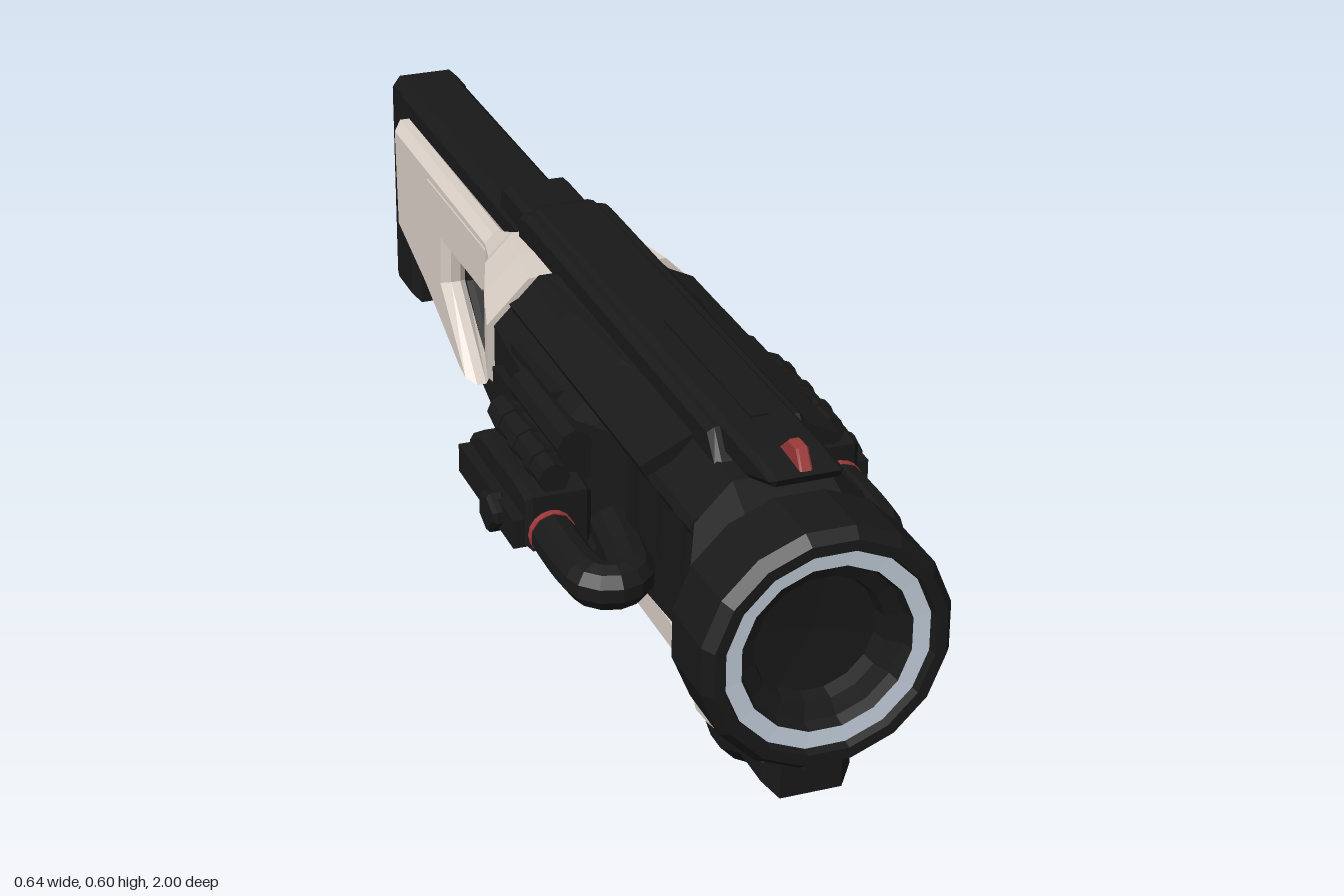
import * as THREE from 'three';

const mat = (name, color, double) => {
  const m = new THREE.MeshStandardMaterial({ color, flatShading: true });
  m.name = name;
  if (double) m.side = THREE.DoubleSide;
  return m;
};

export function createModel() {
  const group = new THREE.Group();
  const black = mat('matte black', 0x191919);
  const bone = mat('bone white', 0xd8cec5);
  const glow = mat('pale blue ring', 0xc4d0dc, true);
  const red = mat('red', 0x9c3838);
  const AXIS = 0.325; // barrel axis height

  const add = (name, geo, m, x = 0, y = 0, z = 0) => {
    const mesh = new THREE.Mesh(geo, m);
    mesh.name = name;
    mesh.position.set(x, y, z);
    group.add(mesh);
    return mesh;
  };
  const box = (name, m, w, h, d, x, y, z) => add(name, new THREE.BoxGeometry(w, h, d), m, x, y, z);
  const both = (fn) => [-1, 1].forEach(fn);

  // Side profile of [z, y] points, extruded across x with a chamfer
  const slab = (name, m, pts, width, x = 0, holes = [], bevel = 0.01) => {
    const shape = new THREE.Shape(pts.map((p) => new THREE.Vector2(...p)));
    holes.forEach((h) => shape.holes.push(new THREE.Path(h.map((p) => new THREE.Vector2(...p)))));
    const geo = new THREE.ExtrudeGeometry(shape, {
      depth: width - 2 * bevel, bevelEnabled: bevel > 0, bevelThickness: bevel,
      bevelSize: bevel, bevelOffset: -bevel, bevelSegments: 1,
    });
    geo.translate(0, 0, bevel - width / 2);
    geo.rotateY(-Math.PI / 2);
    return add(name, geo, m, x);
  };

  // Chamfered cross-sections [z, halfWidth, bottom, top, chamfer], front to back
  const loft = (name, m, sections) => {
    const rings = sections.map(([z, w, b, t, c]) => [
      [w, b + c], [w, t - c], [w - c, t], [c - w, t], [-w, t - c], [-w, b + c], [c - w, b], [w - c, b],
    ].map(([x, y]) => [x, y, z]));
    const pos = [];
    const tri = (...v) => v.forEach((p) => pos.push(...p));
    for (let i = 0; i < rings.length - 1; i++) {
      for (let j = 0; j < 8; j++) {
        const k = (j + 1) % 8, p = rings[i], q = rings[i + 1];
        tri(p[j], q[j], q[k]);
        tri(p[j], q[k], p[k]);
      }
    }
    const f = rings[0], e = rings[rings.length - 1];
    for (let j = 1; j < 7; j++) {
      tri(f[0], f[j], f[j + 1]);
      tri(e[0], e[j + 1], e[j]);
    }
    const geo = new THREE.BufferGeometry();
    geo.setAttribute('position', new THREE.Float32BufferAttribute(pos, 3));
    geo.computeVertexNormals();
    return add(name, geo, m);
  };

  // Revolved profile of [radius, z] points around the barrel axis
  const lathe = (name, m, pts) => {
    const geo = new THREE.LatheGeometry(pts.map((p) => new THREE.Vector2(...p)), 16);
    geo.rotateY(Math.PI / 16);
    geo.rotateX(Math.PI / 2);
    return add(name, geo, m, 0, AXIS);
  };
  const rod = (name, m, r, len, x, y, z, sides = 10) => {
    const geo = new THREE.CylinderGeometry(r, r, len, sides);
    geo.rotateX(Math.PI / 2);
    return add(name, geo, m, x, y, z);
  };

  // Muzzle collar, glowing ring and shallow bore
  lathe('muzzleCollar', black, [[0.135, 0.78], [0.19, 0.85], [0.202, 0.865], [0.202, 0.98], [0.188, 1], [0.17, 1], [0.166, 0.985]]);
  lathe('muzzleRing', glow, [[0.167, 0.986], [0.138, 0.984]]);
  lathe('bore', black, [[0.138, 0.985], [0.132, 0.965], [0.106, 0.955], [0.1, 0.93], [0, 0.925]]);

  // Main body
  loft('barrelShroud', black, [
    [0.86, 0.17, 0.17, 0.49, 0.09], [0.79, 0.135, 0.19, 0.52, 0.06],
    [0.5, 0.135, 0.17, 0.525, 0.06], [0.42, 0.16, 0.16, 0.525, 0.08],
  ]);
  loft('receiver', black, [
    [0.46, 0.14, 0.17, 0.525, 0.07], [0.36, 0.18, 0.16, 0.525, 0.09], [0.16, 0.195, 0.18, 0.525, 0.09],
    [0, 0.185, 0.24, 0.52, 0.08], [-0.03, 0.16, 0.27, 0.5, 0.07],
  ]);
  slab('receiverUnderside', black, [[0.2, 0.24], [0.2, 0.12], [0.1, 0.1], [-0.1, 0.13], [-0.16, 0.3], [0, 0.3]], 0.13);

  // Top rail with front sight
  slab('topRail', black, [[0.9, 0.57], [0.89, 0.555], [0.8, 0.525], [-0.18, 0.5], [-0.19, 0.56], [-0.16, 0.57], [0.82, 0.576]], 0.12);
  slab('railBase', black, [[0.7, 0.565], [0.74, 0.51], [-0.19, 0.48], [-0.19, 0.55], [-0.15, 0.565]], 0.158);
  box('railRidge', black, 0.03, 0.012, 0.36, 0, 0.573, 0.53);
  slab('rearSight', black, [[-0.17, 0.49], [-0.35, 0.49], [-0.345, 0.535], [-0.32, 0.55], [-0.17, 0.55]], 0.12);
  slab('frontSight', red, [[0.89, 0.568], [0.8, 0.568], [0.84, 0.602], [0.87, 0.602]], 0.02, 0, [], 0.003);

  both((s) => {
    // Sloped shoulder plates beside the rail
    const plate = box('shoulderPlate', black, 0.1, 0.022, 0.62, s * 0.115, 0.497, 0.33);
    plate.rotation.z = -s * 0.45;

    // Side pods and mounting arms
    slab('sidePod', black, [[0.46, 0.265], [0.46, 0.36], [0.4, 0.368], [0.22, 0.365], [0.16, 0.33], [0.16, 0.28], [0.2, 0.26]], 0.11, s * 0.23);
    slab('podCap', black, [[0.36, 0.255], [0.4, 0.29], [0.4, 0.31], [0.36, 0.325], [0.32, 0.31], [0.32, 0.27]], 0.03, s * 0.305, [], 0.006);
    box('podRib', black, 0.035, 0.05, 0.28, s * 0.287, 0.295, 0.31);
    rod('upperTube', black, 0.026, 0.26, s * 0.235, 0.382, 0.32, 8);
    rod('middleTube', black, 0.03, 0.24, s * 0.19, 0.415, 0.3, 8);
    rod('lowerTube', black, 0.03, 0.3, s * 0.15, 0.255, 0.33, 8);
    box('sideHousing', black, 0.07, 0.08, 0.2, s * 0.155, 0.415, 0.2);
    box('tubeBracket', black, 0.08, 0.05, 0.2, s * 0.195, 0.378, 0.31);
    box('sideBlock', black, 0.04, 0.1, 0.12, s * 0.185, 0.34, 0.11);
    for (let i = 0; i < 3; i++) {
      rod('tubeClamp', black, 0.03, 0.025, s * 0.235, 0.382, 0.24 + i * 0.075, 8);
      box('shroudRib', black, 0.016, 0.12, 0.035, s * 0.135, 0.39, 0.54 + i * 0.1);
    }
    rod('shroudTube', black, 0.022, 0.34, s * 0.12, 0.45, 0.62, 8);

    // Looping coolant pipe with a red collar
    const path = new THREE.CatmullRomCurve3([
      [0.247, 0.44], [0.247, 0.6], [0.238, 0.645], [0.21, 0.66], [0.18, 0.645], [0.165, 0.59], [0.15, 0.48],
    ].map(([x, z]) => new THREE.Vector3(s * x, 0.298, z)));
    add('coolantPipe', new THREE.TubeGeometry(path, 24, 0.037, 10), black);
    rod('pipeCollar', red, 0.038, 0.012, s * 0.247, 0.298, 0.47, 16);

    // White strip along the handguard
    slab('handguardStrip', bone, [
      [0.85, 0.175], [0.79, 0.19], [0.7, 0.175], [0.62, 0.2], [0.14, 0.2], [0.09, 0.16], [0.09, 0.11],
      [0.17, 0.105], [0.22, 0.14], [0.69, 0.14], [0.73, 0.09], [0.79, 0.095],
    ], 0.045, s * 0.083, [], 0.008);

    // White stock panel with cut-out edge
    slab('stockPanel', bone, [
      [-0.3, 0.45], [-0.3, 0.35], [-0.36, 0.318], [-0.595, 0.318], [-0.6, 0.245], [-0.45, 0.1],
      [-0.51, 0.1], [-0.72, 0.185], [-0.9, 0.24], [-0.91, 0.455],
    ], 0.05, s * 0.065, [], 0.016);
    box('stockRidge', bone, 0.012, 0.05, 0.36, s * 0.087, 0.4, -0.5);
  });

  // Handguard, lower rail and foregrip
  slab('handguard', black, [[0.84, 0.22], [0.84, 0.12], [0.16, 0.12], [0.16, 0.22]], 0.14);
  slab('lowerRail', black, [[0.64, 0.13], [0.64, 0.075], [0.25, 0.062], [0.18, 0.062], [0.14, 0.1], [0.14, 0.13]], 0.1);
  slab('foregrip', black, [
    [0.94, 0.12], [0.94, 0.05], [0.84, 0.05], [0.76, 0.012], [0.71, 0.012], [0.66, 0.04], [0.62, 0.09], [0.62, 0.16], [0.84, 0.16],
  ], 0.145, 0, [], 0.022);
  rod('foregripBolt', black, 0.016, 0.02, 0, 0.095, 0.94, 12);

  // White shoulder shell behind the receiver
  loft('shoulderShell', bone, [
    [0, 0.198, 0.27, 0.517, 0.075], [-0.1, 0.17, 0.27, 0.517, 0.065],
    [-0.2, 0.135, 0.285, 0.512, 0.05], [-0.25, 0.113, 0.315, 0.49, 0.04], [-0.34, 0.09, 0.335, 0.455, 0.02],
  ]);

  // Grip and stock core with trigger and thumb openings
  slab('gripAndStock', black, [
    [-0.05, 0.36], [-0.06, 0.24], [-0.12, 0.12], [-0.18, 0.035], [-0.28, 0.02], [-0.43, 0.025], [-0.58, 0.08],
    [-0.63, 0.115], [-0.9, 0.115], [-0.9, 0.46], [-0.1, 0.46],
  ], 0.085, 0, [
    [[-0.175, 0.12], [-0.165, 0.18], [-0.2, 0.225], [-0.28, 0.225], [-0.335, 0.17], [-0.32, 0.1], [-0.26, 0.07], [-0.215, 0.08]],
    [[-0.36, 0.308], [-0.595, 0.312], [-0.595, 0.245], [-0.46, 0.105], [-0.42, 0.105], [-0.435, 0.17], [-0.41, 0.24]],
  ], 0.01);
  slab('gripPad', black, [[-0.34, 0.26], [-0.345, 0.17], [-0.325, 0.09], [-0.3, 0.03], [-0.39, 0.03], [-0.415, 0.11], [-0.425, 0.17], [-0.4, 0.24], [-0.37, 0.27]], 0.12, 0, [], 0.02);
  slab('triggerGuard', bone, [[-0.08, 0.12], [-0.1, 0.07], [-0.17, 0.003], [-0.3, 0.003], [-0.3, 0.035], [-0.2, 0.06], [-0.14, 0.11]], 0.158, 0, [], 0.012);
  slab('stockTop', black, [[-0.2, 0.515], [-0.2, 0.45], [-0.95, 0.45], [-0.95, 0.515]], 0.13, 0, [], 0.018);
  slab('buttPlate', black, [[-0.91, 0.515], [-0.91, 0.25], [-0.875, 0.22], [-0.875, 0.08], [-0.985, 0.08], [-1, 0.1], [-1, 0.5], [-0.985, 0.515]], 0.13, 0, [], 0.015);

  return group;
}
